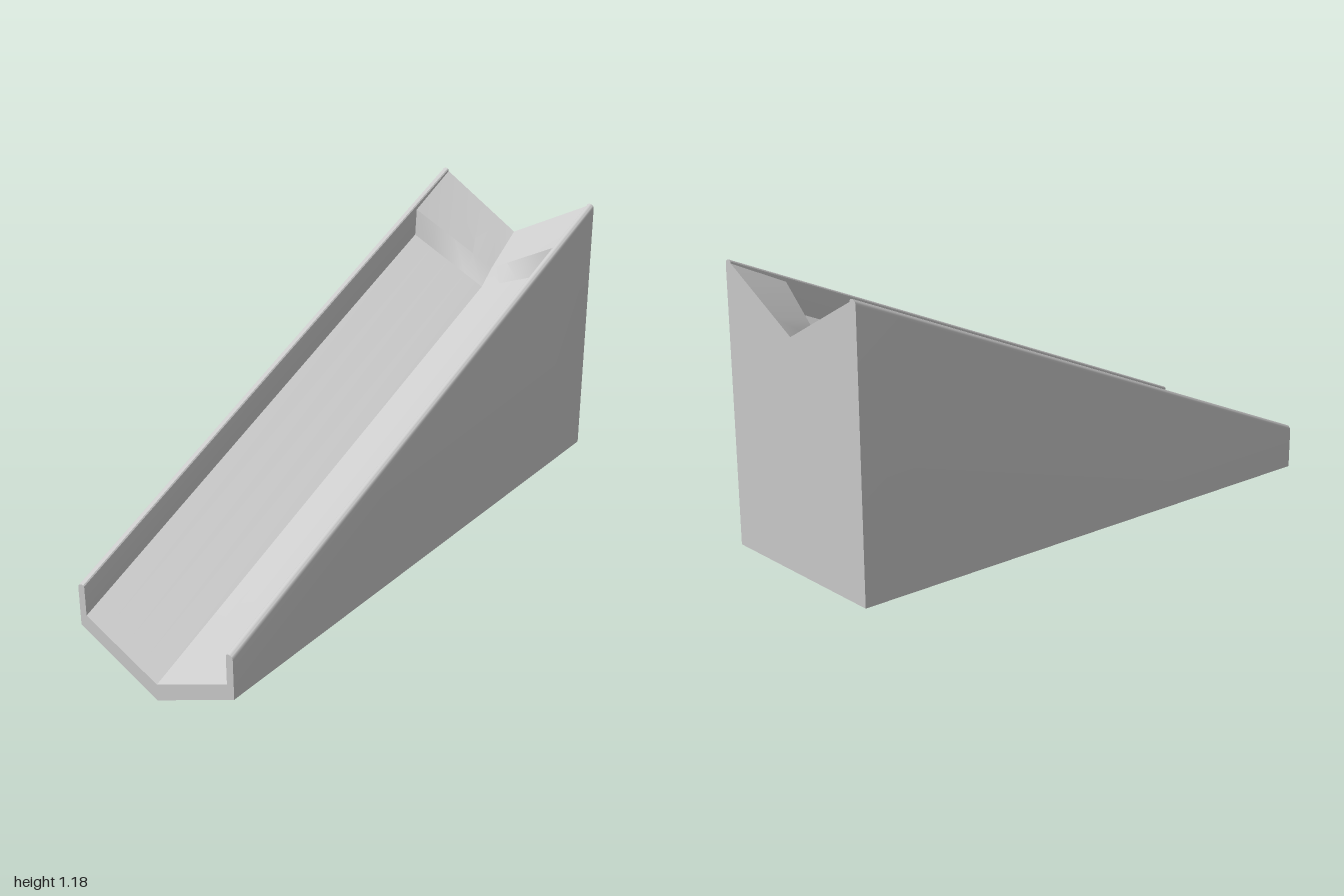
import * as THREE from 'three';
import { toCreasedNormals } from 'three/addons/utils/BufferGeometryUtils.js';

const OUTER = 0.333, INNER = 0.305;
const lerp = THREE.MathUtils.lerp;

// One cross-section, counter-clockwise seen from the front.
// floorSide / floorMid are [y, z] of the channel floor at the wall and at the centre.
function section(z, keel, floorSide, floorMid) {
  const t = (1 - z) / 2;
  const top = lerp(0.315, 1.176, t);
  const half = [[OUTER, lerp(0.155, 0.21, t), z]];
  // rounded wall top: outer corner, then inner corner
  const r = 0.016, s = 0.01;
  for (let i = 0; i <= 4; i++) {
    const a = (i / 4) * Math.PI / 2;
    half.push([OUTER - r + r * Math.cos(a), top - r + r * Math.sin(a), z]);
  }
  for (let i = 0; i <= 3; i++) {
    const a = Math.PI / 2 * (1 + i / 3);
    half.push([INNER + s + s * Math.cos(a), top - s + s * Math.sin(a), z]);
  }
  // V-shaped channel floor
  for (let i = 0; i < 4; i++) {
    const f = i / 4;
    half.push([INNER * (1 - f), lerp(floorSide[0], floorMid[0], f), lerp(floorSide[1], floorMid[1], f)]);
  }
  const mirrored = half.map(([x, y, pz]) => [-x, y, pz]).reverse();
  return [[0, keel, z], ...half, [0, floorMid[0], floorMid[1]], ...mirrored];
}

function loft(rings) {
  const pos = [];
  const tri = (a, b, c) => pos.push(...a, ...b, ...c);
  const n = rings[0].length;
  for (let k = 0; k < rings.length - 1; k++) {
    for (let i = 0; i < n; i++) {
      const j = (i + 1) % n;
      const a = rings[k][i], b = rings[k][j], c = rings[k + 1][j], d = rings[k + 1][i];
      tri(a, d, c);
      tri(a, c, b);
    }
  }
  // end caps
  const cap = (ring, flip) => {
    const outline = ring.map(([x, y]) => new THREE.Vector2(x, y));
    for (const [a, b, c] of THREE.ShapeUtils.triangulateShape(outline, [])) {
      if (flip) tri(ring[a], ring[c], ring[b]);
      else tri(ring[a], ring[b], ring[c]);
    }
  };
  cap(rings[0], false);
  cap(rings[rings.length - 1], true);
  const g = new THREE.BufferGeometry();
  g.setAttribute('position', new THREE.Float32BufferAttribute(pos, 3));
  return toCreasedNormals(g, Math.PI / 7);
}

export function createModel() {
  const group = new THREE.Group();
  group.name = 'slide';
  const rings = [
    section(1, 0, [0.2, 1], [0.062, 1]),                           // open lower end
    section(-0.79, 0.203, [0.972, -0.79], [0.838, -0.795]),        // top of the channel floor
    section(-0.8, 0.204, [1.07, -0.797], [0.893, -0.857]),         // lip of the head ledge
    section(-1, 0.21, [1.165, -1], [0.993, -1]),                   // back end
  ];
  const body = new THREE.Mesh(loft(rings), new THREE.MeshStandardMaterial({ color: 0xcccccc }));
  body.name = 'channelRamp';
  group.add(body);
  return group;
}
